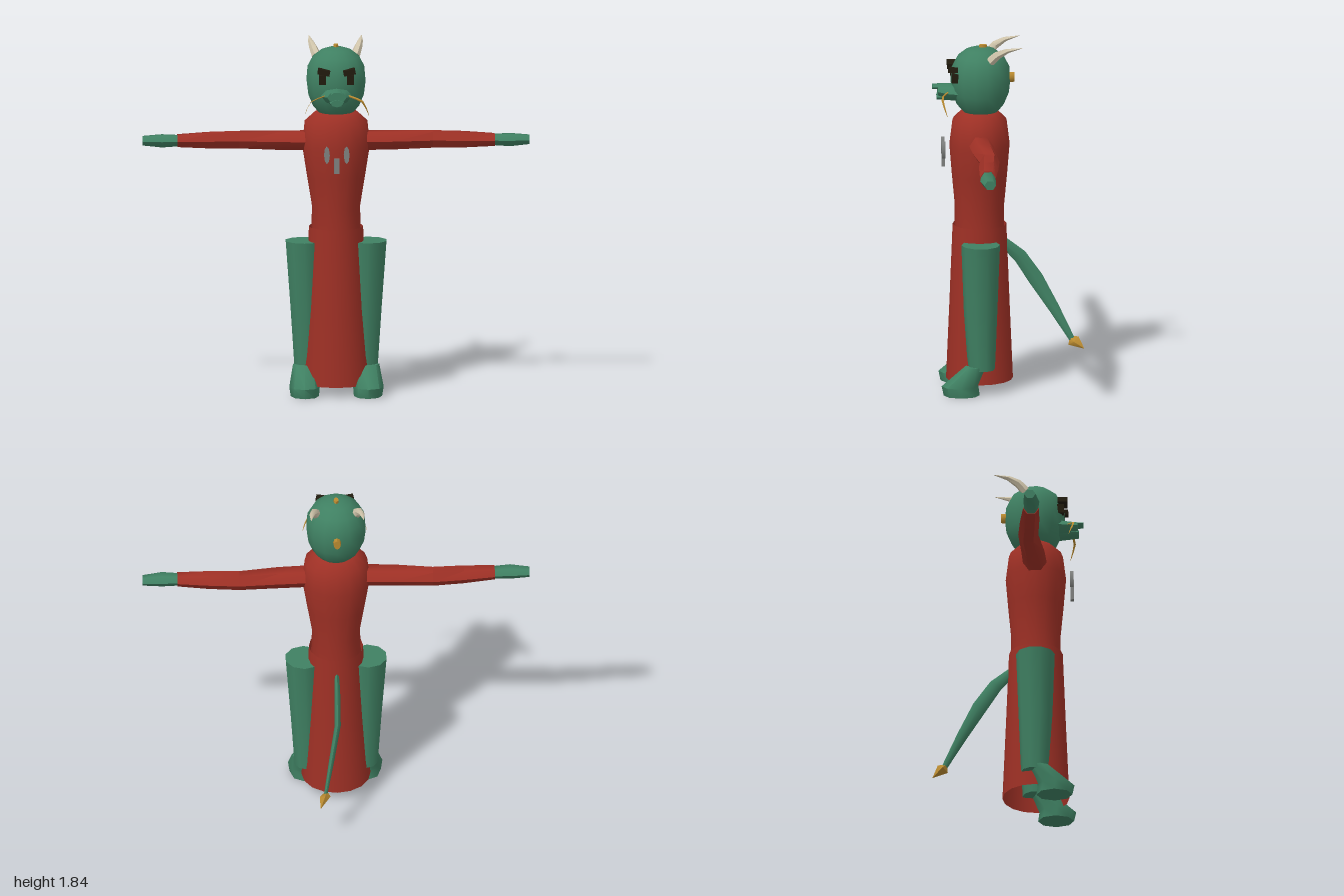
import * as THREE from 'three';
import { toCreasedNormals } from 'three/addons/utils/BufferGeometryUtils.js';

const mat = (name, color, side = THREE.FrontSide) => {
  const m = new THREE.MeshStandardMaterial({ color, side });
  m.name = name;
  return m;
};
const X = [1, 0, 0], Y = [0, 1, 0], Z = [0, 0, 1];

// Skin over elliptical rings [x, y, z, radiusU, radiusV] lying in the plane of u and v
function loft(rings, sides, u, v, caps = true) {
  const U = new THREE.Vector3(...u), V = new THREE.Vector3(...v);
  const centre = (r) => new THREE.Vector3(r[0], r[1], r[2]);
  const last = rings.length - 1;
  const along = centre(rings[last]).sub(centre(rings[0]));
  if (U.clone().cross(V).dot(along) < 0) V.negate();
  const pos = [], index = [];
  for (const r of rings) {
    for (let j = 0; j < sides; j++) {
      const a = (j / sides) * Math.PI * 2;
      const p = centre(r).addScaledVector(U, Math.cos(a) * r[3]).addScaledVector(V, Math.sin(a) * r[4]);
      pos.push(p.x, p.y, p.z);
    }
  }
  for (let i = 0; i < last; i++) {
    for (let j = 0; j < sides; j++) {
      const k = (j + 1) % sides;
      const a = i * sides + j, b = i * sides + k, c = a + sides, d = b + sides;
      index.push(a, b, c, b, d, c);
    }
  }
  if (caps) {
    const n = pos.length / 3;
    pos.push(...rings[0].slice(0, 3), ...rings[last].slice(0, 3));
    for (let j = 0; j < sides; j++) {
      const k = (j + 1) % sides;
      index.push(n, k, j, n + 1, last * sides + j, last * sides + k);
    }
  }
  const g = new THREE.BufferGeometry();
  g.setAttribute('position', new THREE.Float32BufferAttribute(pos, 3));
  g.setIndex(index);
  return toCreasedNormals(g, 1.0);
}

export function createModel() {
  const model = new THREE.Group();
  const red = mat('robe red', 0x9e3025, THREE.DoubleSide);
  const green = mat('scale green', 0x3f8062);
  const gold = mat('gold', 0xb98a30);
  const ivory = mat('horn ivory', 0xcfc4aa);
  const dark = mat('eye dark', 0x211b0e);
  const grey = mat('clasp grey', 0x7f817f);

  const add = (name, geometry, material, x = 0, y = 0, z = 0) => {
    const m = new THREE.Mesh(geometry, material);
    m.name = name;
    m.position.set(x, y, z);
    model.add(m);
    return m;
  };
  const bodyRing = ([y, rz, rx]) => [0, y, 0.148, rz, rx];

  // Robe
  add('torso', loft([[0.8, 0.128, 0.13], [0.98, 0.128, 0.124], [1.14, 0.143, 0.15], [1.3, 0.156, 0.175],
    [1.43, 0.14, 0.162], [1.475, 0.095, 0.112]].map(bodyRing), 16, Z, X), red);
  add('skirt', loft([[0.055, 0.173, 0.178], [0.45, 0.156, 0.157], [0.875, 0.139, 0.14]]
    .map(bodyRing), 16, Z, X, false), red);

  // Head and snout
  add('head', loft([[1.468, 0.085, 0.085], [1.51, 0.122, 0.122], [1.57, 0.147, 0.147], [1.64, 0.155, 0.156],
    [1.71, 0.149, 0.15], [1.765, 0.121, 0.121], [1.8, 0.076, 0.076], [1.813, 0.035, 0.035]]
    .map(([y, a, b]) => [0, y, 0.143, a, b]), 14, Z, X), green);
  add('snout', loft([[0, 1.58, 0.23, 0.085, 0.05], [0, 1.58, 0.3, 0.075, 0.042],
    [0, 1.588, 0.365, 0.05, 0.03]], 8, X, Y), green);
  add('jaw', loft([[0, 1.558, 0.24, 0.06, 0.03], [0, 1.556, 0.37, 0.032, 0.018]], 8, X, Y), green);
  add('nose', loft([[0, 1.606, 0.31, 0.036, 0.016], [0, 1.608, 0.393, 0.03, 0.012]], 6, X, Y), green);

  // Gold studs on the crown and the back of the head
  add('crownStud', loft([[0, 1.79, 0.13, 0.024, 0.016], [0, 1.826, 0.13, 0.02, 0.013]], 6, Z, X), gold);
  add('backStud', loft([[0, 1.652, 0.01, 0.028, 0.022], [0, 1.652, -0.033, 0.026, 0.018]], 8, Y, X), gold);

  for (const s of [1, -1]) {
    const side = s > 0 ? 'left' : 'right';
    const part = (name, rings, sides, u, v, material, caps) =>
      add(side + name, loft(rings.map(([x, ...r]) => [s * x, ...r]), sides, u, v, caps), material);

    // Face
    add(side + 'Eye', new THREE.BoxGeometry(0.036, 0.048, 0.05), dark, s * 0.072, 1.666, 0.27);
    add(side + 'Brow', new THREE.BoxGeometry(0.062, 0.028, 0.05), dark, s * 0.066, 1.708, 0.288)
      .rotation.z = s * 0.2;
    part('Horn', [[0.098, 1.755, 0.1, 0.026, 0.026], [0.115, 1.795, 0.062, 0.022, 0.022],
      [0.128, 1.822, 0.01, 0.014, 0.013], [0.136, 1.838, -0.067, 0.001, 0.001]], 6, X, [0, 0.8, 0.6], ivory);
    part('Whisker', [[0.06, 1.588, 0.315, 0.006, 0.006], [0.1, 1.578, 0.34, 0.006, 0.006],
      [0.133, 1.562, 0.345, 0.006, 0.006], [0.153, 1.525, 0.335, 0.004, 0.004],
      [0.167, 1.485, 0.322, 0.001, 0.001]], 5, Z, [0.6, 0.8, 0], gold);

    // Arm and hand
    part('UpperArm', [[0.13, 1.325, 0.148, 0.062, 0.054], [0.3, 1.325, 0.14, 0.06, 0.053],
      [0.5, 1.325, 0.122, 0.052, 0.048]], 6, Z, Y, red);
    part('Forearm', [[0.5, 1.325, 0.122, 0.052, 0.048], [0.66, 1.325, 0.133, 0.05, 0.045],
      [0.82, 1.325, 0.145, 0.042, 0.035]], 6, Z, Y, red);
    part('Hand', [[0.815, 1.325, 0.145, 0.036, 0.031], [0.9, 1.325, 0.149, 0.041, 0.036],
      [1, 1.325, 0.143, 0.03, 0.026]], 6, Z, Y, green);

    // Leg and foot
    part('Leg', [[0.15, 0.135, 0.145, 0.07, 0.068], [0.156, 0.45, 0.15, 0.087, 0.083],
      [0.165, 0.8, 0.15, 0.1, 0.1]], 10, Z, X, green);
    part('Foot', [[0.163, 0, 0.248, 0.093, 0.073], [0.165, 0.05, 0.257, 0.095, 0.079],
      [0.163, 0.155, 0.175, 0.055, 0.06]], 8, Z, X, green);

    // Chest clasp
    add(side + 'Clasp', loft([[0, 0, -0.009, 0.015, 0.045], [0, 0, 0.009, 0.015, 0.045]], 8, X, Y),
      grey, s * 0.051, 1.28, 0.335);
  }
  add('middleClasp', new THREE.BoxGeometry(0.026, 0.08, 0.018), grey, 0, 1.222, 0.335);

  // Tail, flattened sideways, with a pointed tip
  const across = [0, 0.65, -0.76];
  add('tail', loft([[0, 0.78, 0.03, 0.012, 0.026], [0, 0.7, -0.06, 0.015, 0.036],
    [0.002, 0.575, -0.145, 0.016, 0.04], [0.035, 0.43, -0.235, 0.014, 0.029],
    [0.072, 0.265, -0.33, 0.009, 0.015]], 8, X, across), green);
  add('tailTip', loft([[0.068, 0.275, -0.322, 0.012, 0.014], [0.074, 0.262, -0.335, 0.028, 0.034],
    [0.098, 0.225, -0.388, 0.001, 0.001]], 4, X, across), gold);

  return model;
}
